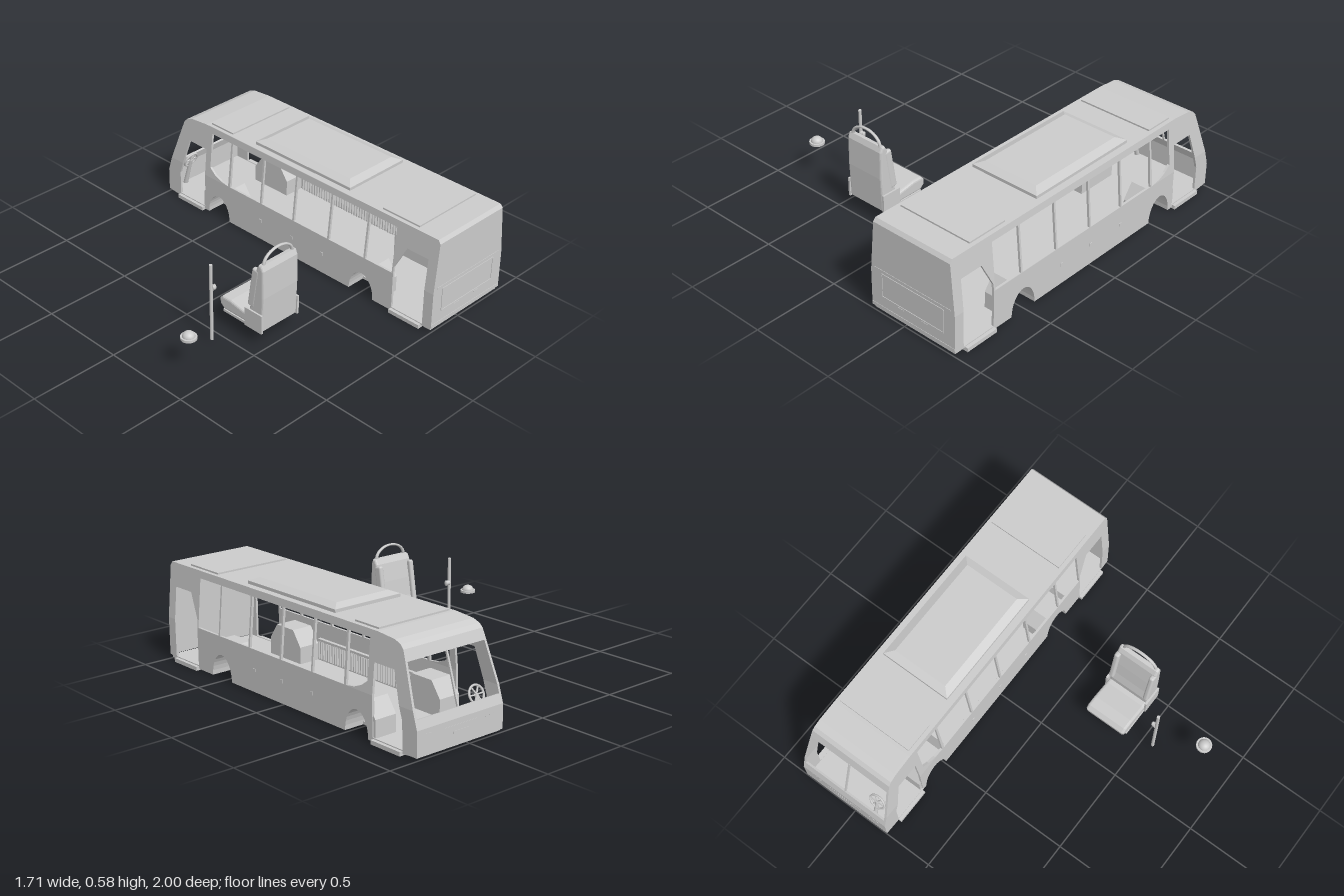
import * as THREE from 'three';
import { RoundedBoxGeometry } from 'three/addons/geometries/RoundedBoxGeometry.js';

const mat = new THREE.MeshStandardMaterial({ color: 0xcccccc, side: THREE.DoubleSide });

function add(parent, name, geo, x = 0, y = 0, z = 0) {
  const m = new THREE.Mesh(geo, mat);
  m.name = name;
  m.position.set(x, y, z);
  parent.add(m);
  return m;
}
const box = (p, name, w, h, d, x, y, z) => add(p, name, new THREE.BoxGeometry(w, h, d), x, y, z);

// Half width of the body at height y: upright below the sill, leaning in above it
const halfWidth = (y) => 0.278 - Math.max(0, y - 0.24) * 0.095;
const WHEELS = [-0.575, 0.515];

const shapeOf = (pts, s = 1) => new THREE.Shape(pts.map(([z, y]) => new THREE.Vector2(s * z, y)));
const extrude = (shape, depth) => new THREE.ExtrudeGeometry(shape, { depth, bevelEnabled: false });

function remap(geo, fn) {
  const p = geo.attributes.position;
  for (let i = 0; i < p.count; i++) p.setXYZ(i, ...fn(p.getX(i), p.getY(i), p.getZ(i)));
  geo.computeVertexNormals();
  return geo;
}

// Side panel drawn in (z, y) and laid on the leaning wall of side s
function sidePanel(pts, holes, s, t = 0.013) {
  const shape = shapeOf(pts, s);
  holes.forEach((h) => shape.holes.push(shapeOf(h, s)));
  return remap(extrude(shape, t), (a, y, d) => [s * (halfWidth(y) - d), y, s * a]);
}

// Full-width skin following a (z, y) path, as thick as t
function skin(path, t = 0.013) {
  const inner = path.map(([z, y], i) => {
    const a = path[Math.max(0, i - 1)], b = path[Math.min(path.length - 1, i + 1)];
    const dz = b[0] - a[0], dy = b[1] - a[1], l = Math.hypot(dz, dy);
    return [z - (dy / l) * t, y + (dz / l) * t];
  });
  return remap(extrude(shapeOf([...path, ...inner.reverse()]), 2),
    (z, y, d) => [(1 - d) * (halfWidth(y) - 0.001), y, z]);
}

// Box whose top face is drawn in by the given amount
function taperedBox(w, h, d, inset) {
  return remap(new THREE.BoxGeometry(w, h, d).toNonIndexed(),
    (x, y, z) => (y > 0 ? [x - Math.sign(x) * inset, y, z - Math.sign(z) * inset] : [x, y, z]));
}

function wheelArch(c) {
  return Array.from({ length: 17 }, (_, i) => {
    const a = (i / 16) * Math.PI;
    return [c - 0.085 * Math.cos(a), 0.01 + 0.13 * Math.sin(a)];
  });
}

function createBus() {
  const bus = new THREE.Group();
  bus.name = 'busBody';

  const lower = [[1, 0.03], [1, 0.24], [0.94, 0.24], [0.94, 0.03], [0.73, 0.03], [0.73, 0.24],
    [-0.69, 0.24], [-0.69, 0.03], [-0.9, 0.03], [-0.9, 0.17], [-0.878, 0.24], [-0.972, 0.24],
    [-1, 0.15], [-1, 0.02], [-0.9, 0.01], ...WHEELS.flatMap(wheelArch), [0.85, 0.01]];
  const roofLine = [[1, 0.53], [0.985, 0.55], [-0.7, 0.55], [-0.82, 0.54], [-0.86, 0.525],
    [-0.88, 0.505], [-0.9, 0.45]];
  const upper = [[1, 0.24], ...roofLine, [-0.972, 0.24], [-0.878, 0.24], [-0.83, 0.4],
    [-0.69, 0.4], [-0.69, 0.24], [0.73, 0.24], [0.73, 0.28], [0.8, 0.42], [0.94, 0.42], [0.94, 0.24]];

  // Window row, the foremost with a swept lower corner
  const posts = [0.726, 0.53, 0.27, 0.01, -0.24, -0.49, -0.656];
  const windows = posts.slice(1).map((b, i) => {
    const z0 = posts[i] - 0.006, z1 = b + 0.006;
    const base = i === 5 ? [[-0.5, 0.242], [-0.56, 0.25], [-0.61, 0.27], [z1, 0.3]] : [[z0, 0.242], [z1, 0.242]];
    return [...base, [z1, 0.51], [z0, 0.51]];
  });

  for (const s of [1, -1]) {
    add(bus, 'lowerSide', sidePanel(lower, [], s));
    add(bus, 'upperSide', sidePanel(upper, windows, s));
    for (const z of [0.83, -0.8]) box(bus, 'doorStep', 0.05, 0.022, 0.205, s * 0.272, 0.014, z);
    for (const z of [0.23, 0, -0.24]) box(bus, 'sideLamp', 0.006, 0.018, 0.018, s * 0.278, 0.13, z);

    // Wheel housings: faceted outside, arched inside
    for (const c of WHEELS) {
      const outer = [[c + 0.13, 0.01], [c + 0.13, 0.12], [c + 0.07, 0.205], [c - 0.07, 0.205], [c - 0.13, 0.12], [c - 0.13, 0.01]];
      const ring = extrude(shapeOf([...wheelArch(c), ...outer]), 0.13);
      const cap = extrude(shapeOf(outer), 0.008);
      for (const [g, inset] of [[ring, 0.006], [cap, 0.128]]) {
        remap(g, (z, y, d) => [0.278 - inset - d, y, z]);
        if (s < 0) { g.rotateY(Math.PI); g.translate(0, 0, 2 * c); }
        add(bus, 'wheelHousing', g);
      }
    }

    // Finned wall heaters
    box(bus, 'heater', 0.02, 0.015, 0.78, s * 0.252, 0.15, -0.03);
    for (let i = 0; i < 40; i++) box(bus, 'heaterFin', 0.025, 0.1, 0.006, s * 0.25, 0.095, -0.41 + i * 0.0195);
  }

  // Roof and rear wall in one skin, nose panel below the windscreen
  add(bus, 'rearAndRoof', skin([[1, 0.03], [1, 0.24], ...roofLine]));
  add(bus, 'nosePanel', skin([[-0.985, 0.198], [-1, 0.15], [-1, 0.02]]));
  const divider = box(bus, 'windscreenDivider', 0.01, 0.27, 0.01, 0, 0.325, -0.937);
  divider.rotation.x = 0.3;
  box(bus, 'noseGrille', 0.22, 0.02, 0.006, 0, 0.11, -0.998);
  box(bus, 'nosePlate', 0.1, 0.012, 0.008, 0, 0.085, -0.997);
  for (const s of [1, -1]) {
    for (const x of [0.17, 0.195, 0.22]) {
      add(bus, 'headlamp', new THREE.CylinderGeometry(0.01, 0.01, 0.006, 12).rotateX(Math.PI / 2), s * x, 0.115, -0.998);
    }
  }

  // Floor with cut-outs over the wheels
  const edge = WHEELS.flatMap((c) => [[0.27, c - 0.085], [0.165, c - 0.085], [0.165, c + 0.085], [0.27, c + 0.085]]);
  const half = [[0.27, -0.99], ...edge, [0.27, 0.99]];
  const plan = [...half, ...half.map(([x, z]) => [-x, z]).reverse()];
  add(bus, 'floor', extrude(shapeOf(plan), 0.016).rotateX(Math.PI / 2), 0, 0.027, 0);

  // Roof equipment
  box(bus, 'roofUnitBase', 0.42, 0.018, 0.7, 0, 0.558, 0.005);
  add(bus, 'roofUnitCover', taperedBox(0.42, 0.018, 0.7, 0.045), 0, 0.576, 0.005);
  box(bus, 'rearRoofPanel', 0.45, 0.012, 0.245, 0, 0.553, 0.72);
  box(bus, 'frontRoofPanel', 0.45, 0.012, 0.17, 0, 0.553, -0.595);

  // Engine cover frame and louvres on the rear wall
  for (const y of [0.11, 0.245]) box(bus, 'engineCoverRail', 0.41, 0.006, 0.008, 0, y, 0.999);
  for (const x of [-0.205, 0.205]) box(bus, 'engineCoverPost', 0.006, 0.135, 0.008, x, 0.178, 0.999);
  box(bus, 'rearLedge', 0.5, 0.008, 0.008, 0, 0.265, 0.998);
  for (const x of [-0.08, 0.08]) box(bus, 'rearReflector', 0.04, 0.006, 0.006, x, 0.098, 0.999);
  box(bus, 'rearBumper', 0.55, 0.02, 0.01, 0, 0.04, 0.997);

  // Steering wheel with spokes and column
  const steering = new THREE.Group();
  steering.name = 'steeringWheel';
  steering.position.set(-0.173, 0.2, -0.925);
  steering.rotation.x = 0.4;
  add(steering, 'rim', new THREE.TorusGeometry(0.046, 0.006, 8, 28));
  for (const a of [0, 1, 2]) box(steering, 'spoke', 0.088, 0.007, 0.006, 0, 0, 0).rotation.z = (a * Math.PI) / 3;
  bus.add(steering);
  const column = add(bus, 'steeringColumn', new THREE.CylinderGeometry(0.01, 0.014, 0.19, 10), -0.173, 0.112, -0.95);
  column.rotation.x = 0.28;
  return bus;
}

function createSeat() {
  const seat = new THREE.Group();
  seat.name = 'seat';
  const padded = (pts, width, bevel) => {
    const g = new THREE.ExtrudeGeometry(shapeOf(pts), { depth: width - 2 * bevel, bevelSize: bevel, bevelThickness: bevel, bevelOffset: -bevel, bevelSegments: 3 });
    return remap(g, (z, y, d) => [width / 2 - bevel - d, y, z]);
  };
  // Backrest with a lumbar swell, then the cushion and its side frames
  add(seat, 'backrest', padded([[0.48, 0.1], [0.488, 0.3], [0.485, 0.46], [0.472, 0.49], [0.45, 0.488],
    [0.435, 0.46], [0.415, 0.36], [0.4, 0.26], [0.385, 0.2], [0.39, 0.1]], 0.25, 0.012));
  add(seat, 'cushion', padded([[0.47, 0.1], [0.47, 0.16], [0.36, 0.158], [0.25, 0.178], [0.19, 0.178],
    [0.168, 0.155], [0.172, 0.125], [0.2, 0.1]], 0.25, 0.014));
  for (const s of [1, -1]) {
    add(seat, 'backBolster', new RoundedBoxGeometry(0.03, 0.24, 0.05, 2, 0.012), s * 0.112, 0.335, 0.415).rotation.x = 0.15;
    box(seat, 'sideFrame', 0.012, 0.11, 0.12, s * 0.129, 0.145, 0.425);
  }
  box(seat, 'seatPan', 0.255, 0.014, 0.27, 0, 0.097, 0.335);
  add(seat, 'pedestalFlange', new THREE.CylinderGeometry(0.072, 0.048, 0.016, 4).rotateY(Math.PI / 4), 0, 0.082, 0.33);
  box(seat, 'pedestal', 0.066, 0.07, 0.066, 0, 0.045, 0.33);
  // Grab handle arching over the backrest
  add(seat, 'grabHandle', new THREE.TorusGeometry(0.1, 0.009, 8, 24, Math.PI), 0, 0.485, 0.465).scale.y = 0.68;
  return seat;
}

export function createModel() {
  const model = new THREE.Group();
  model.name = 'busSet';

  const bus = createBus();
  bus.position.x = 0.558;
  const seat = createSeat();
  seat.position.x = -0.298;
  model.add(bus, seat);

  // Grab pole with its stop button
  const pole = new THREE.Group();
  pole.name = 'grabPole';
  pole.position.set(-0.564, 0, 0.26);
  add(pole, 'pole', new THREE.CylinderGeometry(0.009, 0.009, 0.455, 16), 0, 0.24, 0);
  add(pole, 'buttonHousing', new THREE.CylinderGeometry(0.012, 0.015, 0.018, 16).rotateZ(-Math.PI / 2), 0.014, 0.325, 0);
  add(pole, 'button', new THREE.SphereGeometry(0.012, 14, 8).scale(0.6, 1.4, 1), 0.024, 0.325, 0);

  // Domed lamp on a round base
  const lamp = new THREE.Group();
  lamp.name = 'domeLamp';
  lamp.position.set(-0.812, 0.2, 0.362);
  add(lamp, 'base', new THREE.CylinderGeometry(0.043, 0.043, 0.014, 28), 0, 0.007, 0);
  add(lamp, 'dome', new THREE.SphereGeometry(0.033, 24, 8, 0, Math.PI * 2, 0, Math.PI / 2).scale(1, 0.85, 1), 0, 0.014, 0);

  model.add(pole, lamp);
  return model;
}
